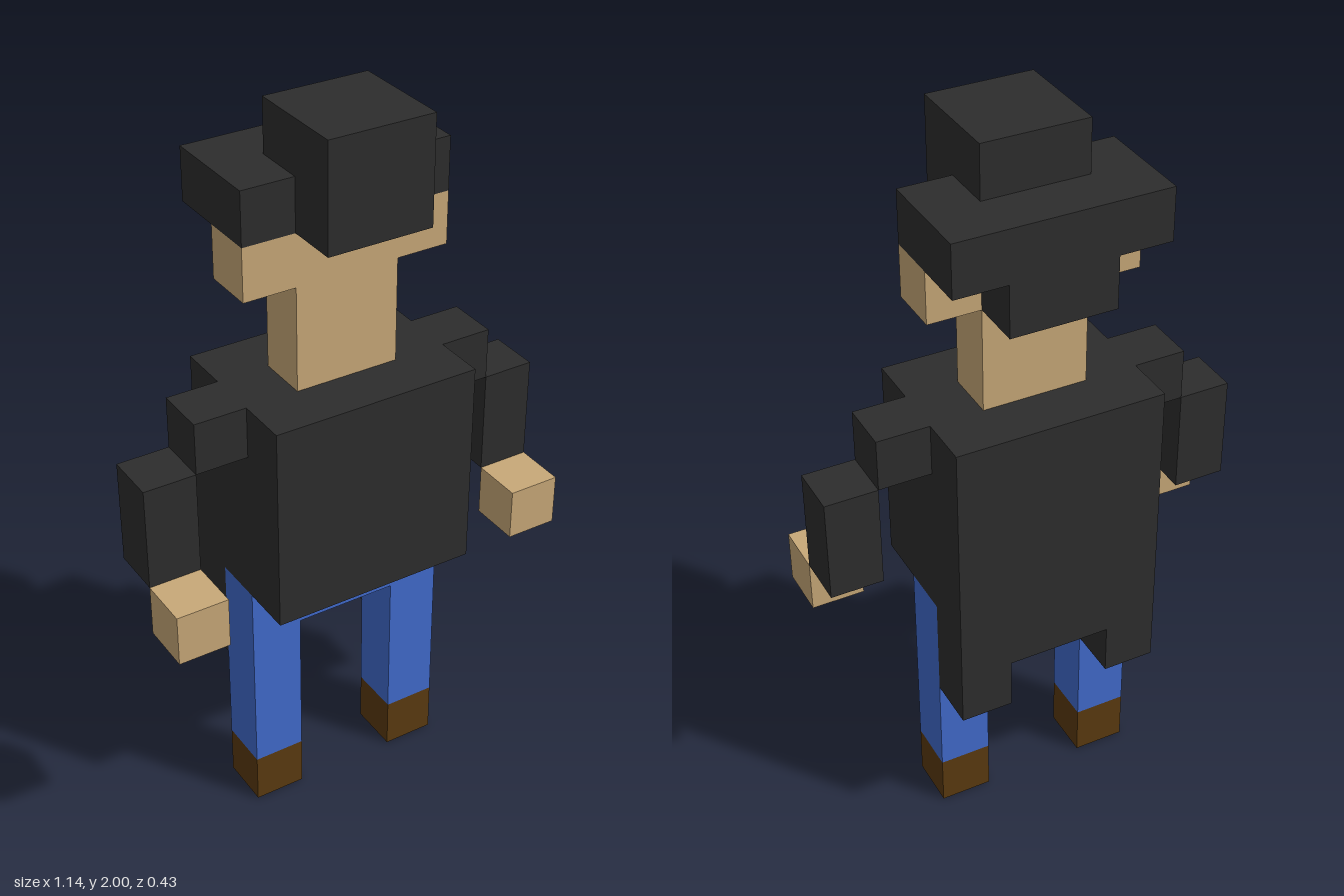
import * as THREE from 'three';

const U = 1 / 7; // edge of one cube of the grid

const material = (name, color) => {
  const m = new THREE.MeshStandardMaterial({ color });
  m.name = name;
  return m;
};

export function createModel() {
  const model = new THREE.Group();
  model.name = 'blockFigure';

  const black = material('black', 0x2d2d2d);
  const skin = material('skin', 0xc8a878);
  const blue = material('blue', 0x416acb);
  const brown = material('brown', 0x5a3a10);

  // Box spanning two corners, given in grid units
  function block(name, mat, [x0, x1], [y0, y1], [z0, z1]) {
    const geometry = new THREE.BoxGeometry((x1 - x0) * U, (y1 - y0) * U, (z1 - z0) * U);
    const mesh = new THREE.Mesh(geometry, mat);
    mesh.position.set((x0 + x1) / 2 * U, (y0 + y1) / 2 * U, (z0 + z1) / 2 * U);
    mesh.name = name;
    model.add(mesh);
  }

  // The same box on the left (+x) and right (-x)
  function pair(name, mat, [x0, x1], y, z) {
    block('left' + name, mat, [x0, x1], y, z);
    block('right' + name, mat, [-x1, -x0], y, z);
  }

  const middle = [-0.5, 0.5], front = [0.5, 1.5], back = [-1.5, -0.5];

  // Legs
  pair('Shoe', brown, [1, 2], [0, 1], middle);
  pair('Leg', blue, [1, 2], [1, 4], middle);
  block('hips', blue, [-2, 2], [4, 5], middle);

  // Coat with two tails behind
  block('coat', black, [-2, 2], [5, 9], [-1.5, 1.5]);
  block('coatSkirt', black, [-2, 2], [4, 5], back);
  pair('CoatTail', black, [1, 2], [3, 4], back);

  // Arms
  pair('Shoulder', black, [2, 3], [8, 9], middle);
  pair('Arm', black, [3, 4], [6, 8], middle);
  pair('Hand', skin, [3, 4], [5, 6], front);

  // Head
  block('neck', skin, [-1, 1], [9, 11], middle);
  block('face', skin, [-2, 2], [11, 12], middle);
  block('backHair', black, [-1, 1], [11, 12], back);

  // Hat
  block('hatBrim', black, [-2, 2], [12, 13], [-1.5, 0.5]);
  block('hatCrown', black, [-1, 1], [12, 14], [-0.5, 1.5]);

  return model;
}
